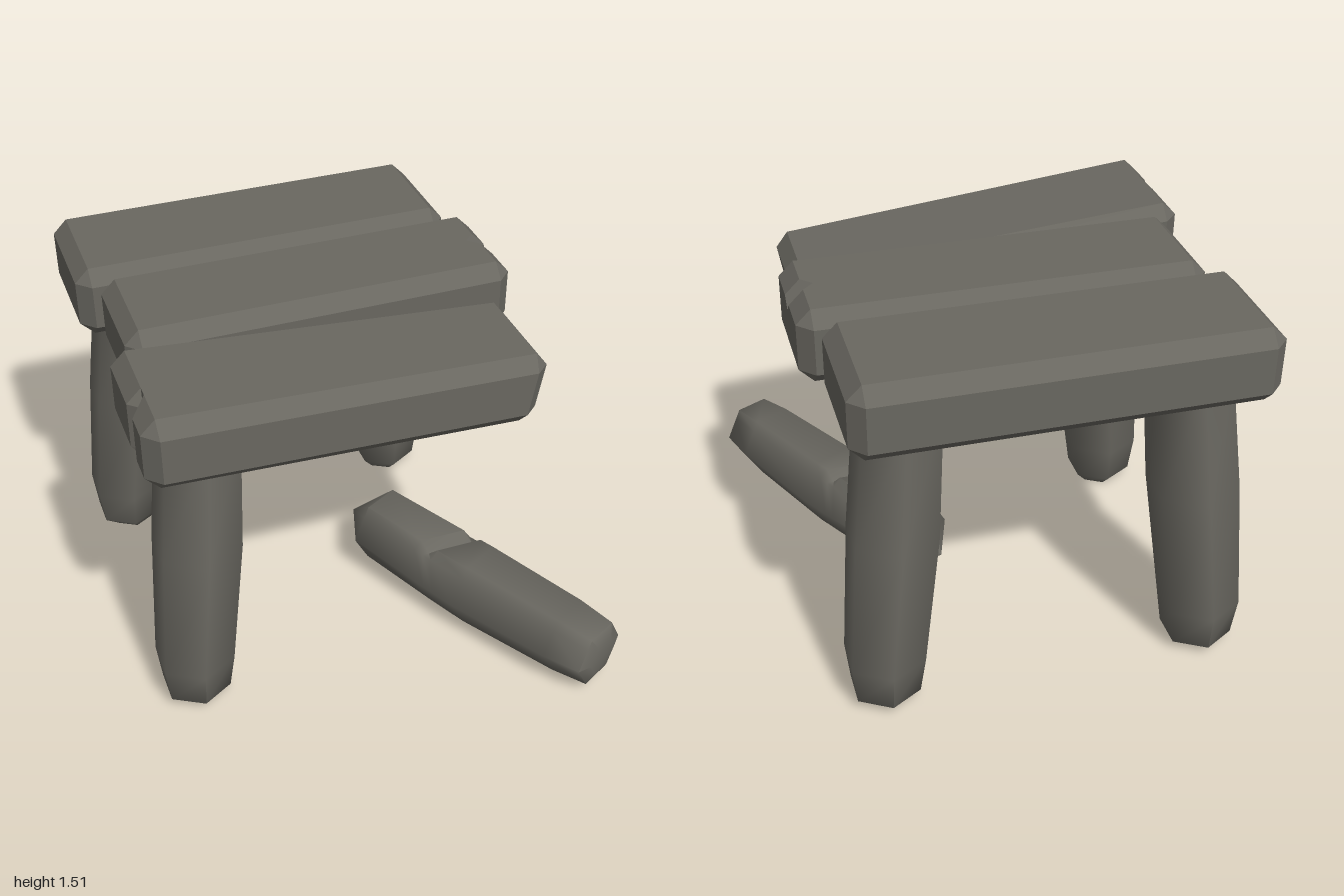
import * as THREE from 'three';
import { toCreasedNormals } from 'three/addons/utils/BufferGeometryUtils.js';

const V = (x, y, z) => new THREE.Vector3(x, y, z);

// Skin a list of rings (counter-clockwise about the loft direction) and cap both ends
function loft(rings) {
  const pos = [];
  const tri = (a, b, c) => {
    const n = b.clone().sub(a).cross(c.clone().sub(a));
    if (n.length() > 1e-9) pos.push(...a.toArray(), ...b.toArray(), ...c.toArray());
  };
  const n = rings[0].length;
  for (let k = 0; k < rings.length - 1; k++) {
    for (let i = 0; i < n; i++) {
      const j = (i + 1) % n;
      tri(rings[k][i], rings[k][j], rings[k + 1][j]);
      tri(rings[k][i], rings[k + 1][j], rings[k + 1][i]);
    }
  }
  const first = rings[0], last = rings[rings.length - 1];
  for (let i = 1; i < n - 1; i++) {
    tri(first[0], first[i + 1], first[i]);
    tri(last[0], last[i], last[i + 1]);
  }
  const geo = new THREE.BufferGeometry();
  geo.setAttribute('position', new THREE.Float32BufferAttribute(pos, 3));
  geo.computeVertexNormals();
  return geo;
}

// Hexagonal ring with a corner along u
function hexRing(center, r, u, v) {
  return Array.from({ length: 6 }, (_, i) => {
    const a = (i * Math.PI) / 3;
    return center.clone().addScaledVector(u, r * Math.cos(a)).addScaledVector(v, r * Math.sin(a));
  });
}

// Chamfered board lofted along z; notch = { z, half, edit(points) }
function plankGeometry(x0, x1, z0, z1, notch, warp) {
  const c = 0.057, y0 = 1.21, y1 = 1.51;
  const section = () => [
    [x1, y0 + c], [x1, y1 - c], [x1 - c, y1], [x0 + c, y1],
    [x0, y1 - c], [x0, y0 + c], [x0 + c, y0], [x1 - c, y0],
  ];
  const inset = section().map(([x, y]) => [
    THREE.MathUtils.clamp(x, x0 + c, x1 - c), THREE.MathUtils.clamp(y, y0 + c, y1 - c),
  ]);
  const slices = [[z0, inset], [z0 + c, section()]];
  if (notch) {
    const cut = section();
    notch.edit(cut);
    slices.push([notch.z - notch.half, section()], [notch.z, cut], [notch.z + notch.half, section()]);
  }
  slices.push([z1 - c, section()], [z1, inset]);
  return loft(slices.map(([z, pts]) => pts.map(([x, y]) => {
    const p = V(x, y, z);
    if (warp) warp(p);
    return p;
  })));
}

export function createModel() {
  const group = new THREE.Group();
  const color = 0x696760;
  const wood = new THREE.MeshStandardMaterial({ color });
  const flatWood = new THREE.MeshStandardMaterial({ color, flatShading: true });
  const add = (name, geo, mat) => {
    const mesh = new THREE.Mesh(geo, mat);
    mesh.name = name;
    group.add(mesh);
  };

  // Seat boards
  add('backPlank', plankGeometry(-0.92, 0.655, -1, -0.46), flatWood);
  add('middlePlank', plankGeometry(-0.84, 0.73, -0.46, 0.04, {
    z: -0.21, half: 0.042,
    edit: (p) => { p[1][1] = 1.41; p[2][0] = 0.63; },
  }), flatWood);
  // The front board has slipped: its left end sags and narrows
  add('frontPlank', plankGeometry(-0.92, 0.67, 0.04, 0.6, {
    z: 0.39, half: 0.045,
    edit: (p) => { p[4][0] += 0.05; p[5][0] += 0.05; },
  }, (p) => {
    const u = THREE.MathUtils.clamp((p.x + 0.86) / 1.48, 0, 1.03);
    p.x += u * 0.17 * (p.y - 1.45);
    p.y -= u * 0.12;
    p.z = 0.04 + (p.z - 0.04) * (1 - 0.14 * u);
  }), flatWood);

  // Standing legs, splayed outwards: [height, radius, x offset, z offset]
  const profile = [
    [0, 0.085, 0.635, 0.57], [0.04, 0.143, 0.647, 0.594], [0.2, 0.165, 0.645, 0.593],
    [0.75, 0.181, 0.59, 0.55], [1.27, 0.167, 0.546, 0.502],
  ];
  for (const [name, sx, sz] of [['frontRightLeg', -1, 1], ['backRightLeg', -1, -1], ['backLeftLeg', 1, -1]]) {
    const rings = profile.map(([y, r, dx, dz]) =>
      hexRing(V(-0.115 + sx * dx, y, -0.21 + sz * dz), r, V(0, 0, 1), V(1, 0, 0)));
    add(name, toCreasedNormals(loft(rings), 1.15), wood);
  }

  // Fallen leg lying on the ground, pointed at one end: [distance, height, radius, groove part]
  const axis = V(0.466, 0, 0.885), side = V(0.885, 0, -0.466), up = V(0, 1, 0);
  const fallen = [
    [-0.16, 0.175, 0], [0, 0.185, 0.165], [0.355, 0.167, 0.176, 'rim'], [0.4, 0.165, 0.177, 'floor'],
    [0.445, 0.163, 0.178, 'rim'], [0.56, 0.16, 0.18], [1.02, 0.163, 0.163], [1.18, 0.165, 0.143],
    [1.2, 0.165, 0.085],
  ].map(([t, y, r, groove]) => {
    const center = V(0.243, y, -0.118).addScaledVector(axis, t);
    const h = hexRing(center, r, side, up);
    // Extra points beside the top face bound the groove
    const ring = [h[0], h[1].clone().lerp(h[0], 0.3), h[1], h[2], h[2].clone().lerp(h[3], 0.3), h[3], h[4], h[5]];
    if (groove) {
      // The groove runs square to the seat, so it crosses the leg at a slant
      for (const p of ring.slice(1, 5)) {
        p.addScaledVector(axis, p.clone().sub(center).dot(side) * 0.527);
      }
    }
    if (groove === 'floor') ring[2].y = ring[3].y = ring[1].y;
    return ring;
  });
  add('fallenLeg', toCreasedNormals(loft(fallen), 1.15), wood);

  return group;
}
